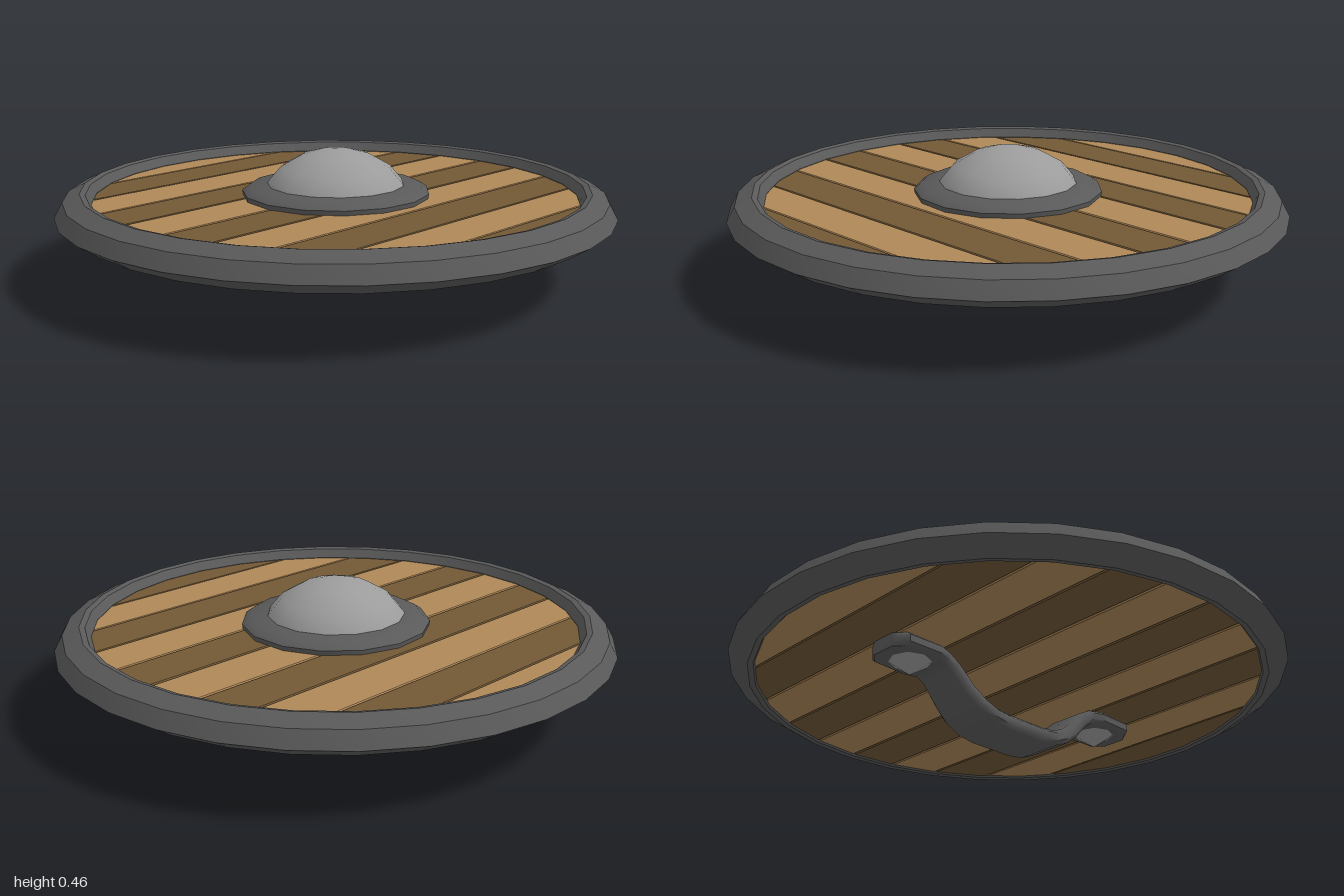
import * as THREE from 'three';
import { toCreasedNormals } from 'three/addons/utils/BufferGeometryUtils.js';

const material = (color) => new THREE.MeshStandardMaterial({ color });
const iron = material(0x5a5a5a);
const steel = material(0x9c9c9c);
const lightWood = material(0xae8858);
const darkWood = material(0x725936);

function addMesh(parent, name, geometry, mat) {
  const mesh = new THREE.Mesh(geometry, mat);
  mesh.name = name;
  parent.add(mesh);
  return mesh;
}

// Turned part; the start angle puts a corner on the x axis
function turned(profile, sides, crease) {
  const points = profile.map(([r, y]) => new THREE.Vector2(r, y));
  const geometry = new THREE.LatheGeometry(points, sides, THREE.MathUtils.degToRad(6));
  return toCreasedNormals(geometry, crease);
}

// Board between two z positions, its ends cut to the disc
function plank(z0, z1, radius) {
  const pts = [];
  const steps = 8;
  for (let i = 0; i <= steps; i++) {
    const z = z0 + ((z1 - z0) * i) / steps;
    pts.push(new THREE.Vector2(Math.sqrt(Math.max(radius * radius - z * z, 0.0004)), z));
  }
  for (let i = steps; i >= 0; i--) pts.push(new THREE.Vector2(-pts[i].x, pts[i].y));
  const bevel = 0.006;
  const geometry = new THREE.ExtrudeGeometry(new THREE.Shape(pts), {
    depth: 0.078 - 2 * bevel, bevelEnabled: true, bevelSegments: 1,
    bevelSize: bevel, bevelThickness: bevel, bevelOffset: -bevel,
  });
  geometry.rotateX(Math.PI / 2);
  geometry.translate(0, 0.293 - bevel, 0);
  return geometry;
}

// Strap swept through stations of [z, y, half width, half thickness]
function strap(stations) {
  const section = [[1, 0.5], [0.85, 1], [-0.85, 1], [-1, 0.5], [-1, -0.5], [-0.85, -1], [0.85, -1], [1, -0.5]];
  const n = section.length;
  const positions = [];
  const index = [];
  stations.forEach(([z, y, w, t], i) => {
    const a = stations[Math.max(i - 1, 0)];
    const b = stations[Math.min(i + 1, stations.length - 1)];
    const tangent = new THREE.Vector2(b[0] - a[0], b[1] - a[1]).normalize();
    for (const [u, v] of section) {
      positions.push(u * w, y + tangent.x * v * t, z - tangent.y * v * t);
    }
    if (i === 0) return;
    for (let k = 0; k < n; k++) {
      const p = (i - 1) * n + k;
      const q = (i - 1) * n + ((k + 1) % n);
      index.push(p, p + n, q, q, p + n, q + n);
    }
  });
  const last = (stations.length - 1) * n;
  for (let k = 1; k < n - 1; k++) {
    index.push(0, k, k + 1);
    index.push(last, last + k + 1, last + k);
  }
  // Turn the winding outward if the enclosed volume is negative
  const p = (i) => new THREE.Vector3().fromArray(positions, i * 3);
  let volume = 0;
  for (let i = 0; i < index.length; i += 3) {
    volume += p(index[i]).dot(p(index[i + 1]).cross(p(index[i + 2])));
  }
  if (volume < 0) index.reverse();
  const geometry = new THREE.BufferGeometry();
  geometry.setAttribute('position', new THREE.Float32BufferAttribute(positions, 3));
  geometry.setIndex(index);
  return toCreasedNormals(geometry, 0.85);
}

export function createModel() {
  const shield = new THREE.Group();
  shield.name = 'roundShield';

  // Ten boards in alternating tones
  const planks = new THREE.Group();
  planks.name = 'planks';
  shield.add(planks);
  const edges = [-0.91, -0.755, -0.57, -0.38, -0.193, 0, 0.188, 0.375, 0.565, 0.75, 0.91];
  for (let i = 0; i < edges.length - 1; i++) {
    addMesh(planks, `plank${i + 1}`, plank(edges[i], edges[i + 1], 0.912), i % 2 ? darkWood : lightWood);
  }

  // Iron band around the edge
  addMesh(shield, 'rim', turned([
    [0.91, 0.208], [0.93, 0.205], [1, 0.25], [0.97, 0.305], [0.91, 0.333],
    [0.89, 0.328], [0.87, 0.295], [0.88, 0.25], [0.91, 0.208],
  ], 30, 0.6), iron);

  // Boss: collar and dome
  addMesh(shield, 'bossCollar', turned([
    [0.335, 0.28], [0.34, 0.31], [0.315, 0.328], [0.24, 0.336],
  ], 15, 0.6), iron);
  addMesh(shield, 'bossDome', turned([
    [0.25, 0.33], [0.245, 0.342], [0.2, 0.395], [0.12, 0.441], [0.06, 0.457], [0, 0.463],
  ], 15, 0.9), steel);

  // Curved grip on the back, one half mirrored along z
  const half = [
    [0.58, 0.19, 0.055, 0.025], [0.545, 0.19, 0.1, 0.025], [0.41, 0.19, 0.105, 0.025],
    [0.36, 0.188, 0.088, 0.025], [0.32, 0.165, 0.085, 0.027], [0.255, 0.1, 0.092, 0.027],
    [0.205, 0.062, 0.1, 0.027], [0.15, 0.038, 0.105, 0.027], [0.09, 0.03, 0.105, 0.028],
  ];
  const mirrored = half.map(([z, ...rest]) => [-z, ...rest]).reverse();
  addMesh(shield, 'handle', strap([...half, ...mirrored]), iron);

  // Pointed rivets through the handle ends
  for (const side of [1, -1]) {
    const cone = new THREE.ConeGeometry(0.077, 0.052, 8);
    cone.rotateX(Math.PI);
    addMesh(shield, side > 0 ? 'frontRivet' : 'backRivet', cone, steel).position.set(0, 0.141, side * 0.462);
  }

  return shield;
}
